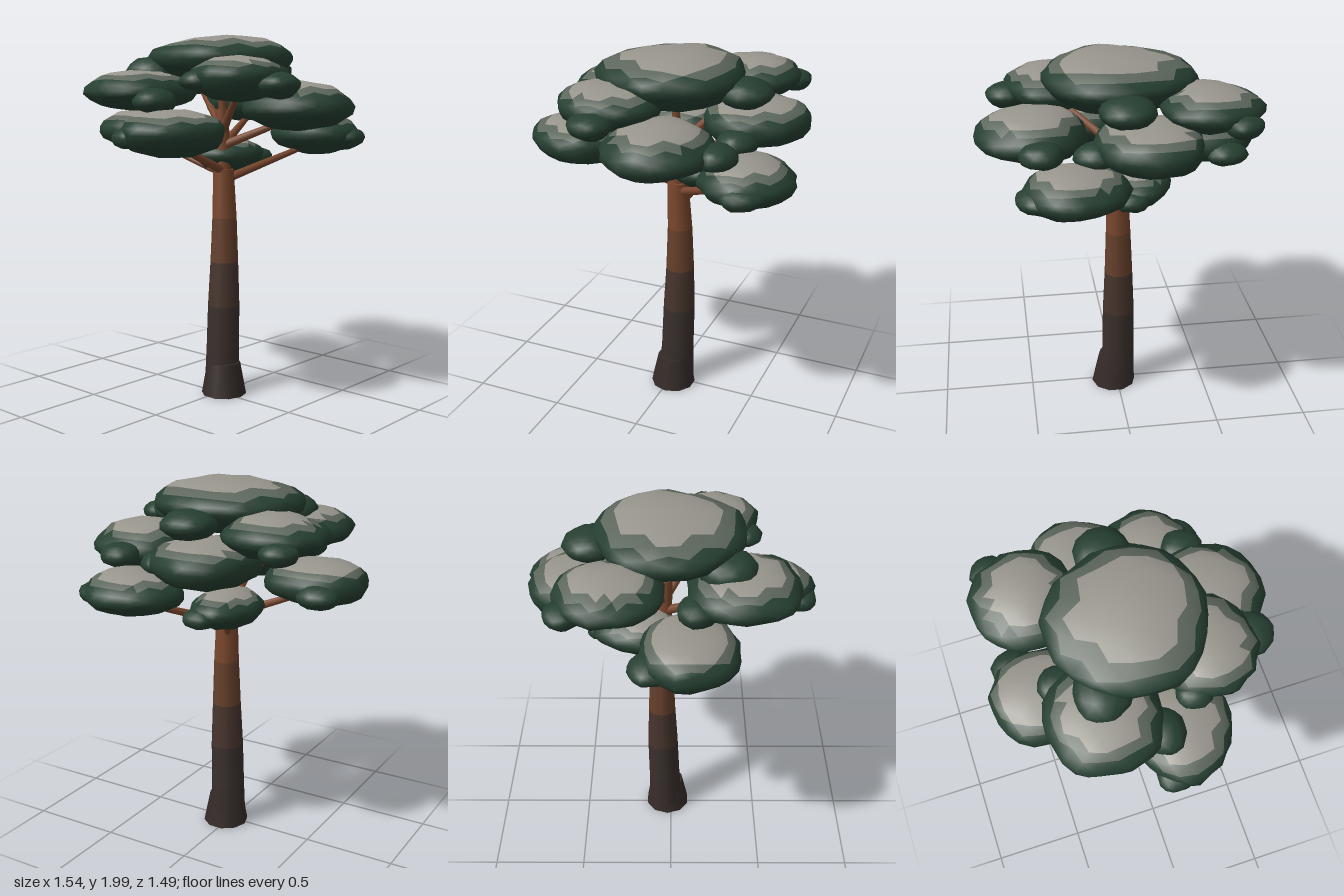
import * as THREE from 'three';
import { mergeVertices } from 'three/addons/utils/BufferGeometryUtils.js';

const mat = (color) => new THREE.MeshStandardMaterial({ color });
const GREEN = mat(0x263f31), MIX = mat(0x5d675c), FROST = mat(0x97958c), BRANCH = mat(0x7a472d);

function part(name, geometry, material) {
  const mesh = new THREE.Mesh(geometry, material);
  mesh.name = name;
  return mesh;
}

// Smooth lumpy ellipsoid; the lumps differ with the seed
function lumpGeometry([x, y, z], [rx, ry, rz], detail, seed) {
  let g = new THREE.IcosahedronGeometry(1, detail);
  g.deleteAttribute('normal');
  g.deleteAttribute('uv');
  g = mergeVertices(g, 1e-3);
  const p = g.attributes.position, v = new THREE.Vector3();
  for (let i = 0; i < p.count; i++) {
    v.fromBufferAttribute(p, i);
    const n = Math.sin(v.x * 4.1 + seed * 1.7) + Math.sin(v.y * 4.7 + seed * 2.9)
      + Math.sin(v.z * 4.3 + seed * 3.7) + Math.sin((v.x + v.z) * 9 + seed);
    const s = 0.99 + 0.027 * n;
    p.setXYZ(i, x + v.x * s * rx, y + v.y * s * ry, z + v.z * s * rz);
  }
  g.computeVertexNormals();
  return g;
}

// Splits a lump by height into green sides, a mixed band and a pale top, sharing normals
function splitBands(g, y, ry) {
  const p = g.attributes.position, idx = g.index.array, bands = [[], [], []];
  for (let i = 0; i < idx.length; i += 3) {
    const f = [idx[i], idx[i + 1], idx[i + 2]];
    const h = ((p.getY(f[0]) + p.getY(f[1]) + p.getY(f[2])) / 3 - y) / ry;
    bands[h > 0.7 ? 2 : h > 0.52 ? 1 : 0].push(...f);
  }
  return bands.map((list) => {
    const s = new THREE.BufferGeometry();
    s.setAttribute('position', p);
    s.setAttribute('normal', g.attributes.normal);
    s.setIndex(list);
    return s;
  });
}

// Leaning cylinder with level ends
function trunkSection([y0, x0, z0, r0], [y1, x1, z1, r1]) {
  const h = y1 - y0, g = new THREE.CylinderGeometry(r1, r0, h, 10);
  const p = g.attributes.position;
  for (let i = 0; i < p.count; i++) {
    const t = p.getY(i) / h + 0.5;
    p.setXYZ(i, p.getX(i) + x0 + (x1 - x0) * t, y0 + h * t, p.getZ(i) + z0 + (z1 - z0) * t);
  }
  return g;
}

// Tapered straight branch between two points
function branch(from, to, r0, r1) {
  const a = new THREE.Vector3(...from), b = new THREE.Vector3(...to);
  const d = b.clone().sub(a);
  const mesh = part('branch', new THREE.CylinderGeometry(r1, r0, d.length(), 7), BRANCH);
  mesh.position.copy(a).add(b).multiplyScalar(0.5);
  mesh.quaternion.setFromUnitVectors(new THREE.Vector3(0, 1, 0), d.normalize());
  return mesh;
}

export function createModel() {
  const tree = new THREE.Group();
  tree.name = 'tree';

  // Root flare and trunk, warming in colour towards the top: [y, x, z, radius]
  tree.add(part('rootFlare',
    trunkSection([0, 0.021, 0.02, 0.126], [0.18, 0.025, 0.015, 0.093]), mat(0x352b28)));
  const rings = [
    [0, 0.03, 0, 0.102], [0.25, 0.038, -0.005, 0.092], [0.5, 0.046, -0.005, 0.089],
    [0.75, 0.051, -0.005, 0.078], [1, 0.05, -0.003, 0.068], [1.27, 0.038, 0, 0.057],
  ];
  const bark = [0x382e2b, 0x3a302c, 0x47352d, 0x66402c, 0x7a472d].map(mat);
  bark.forEach((m, i) => tree.add(part('trunk', trunkSection(rings[i], rings[i + 1]), m)));
  tree.add(part('upperTrunk',
    trunkSection([1.25, 0.038, 0, 0.043], [1.6, 0.025, 0, 0.035]), BRANCH));

  // Leaf clumps: centre, radii, height where the branch starts, side lumps [x, y, z, radius]
  const clumps = [
    { c: [0.01, 1.86, 0], r: [0.39, 0.14, 0.4], from: 1.55,
      side: [[0.41, 1.81, 0, 0.14], [-0.28, 1.79, -0.22, 0.15]] },
    { c: [0.12, 1.62, 0.45], r: [0.3, 0.13, 0.285], from: 1.4,
      side: [[0.41, 1.61, 0.42, 0.11]] },
    { c: [-0.2, 1.765, 0.32], r: [0.265, 0.115, 0.26], from: 1.48,
      side: [[-0.19, 1.73, 0.56, 0.115], [-0.39, 1.75, 0.2, 0.09]] },
    { c: [-0.36, 1.7, -0.24], r: [0.285, 0.115, 0.285], from: 1.41,
      side: [[-0.5, 1.65, 0.01, 0.115], [-0.13, 1.66, -0.39, 0.11]] },
    { c: [-0.47, 1.49, 0.11], r: [0.29, 0.12, 0.27], from: 1.26,
      side: [[-0.67, 1.47, 0.02, 0.095]] },
    { c: [0.52, 1.46, 0.27], r: [0.245, 0.12, 0.26], from: 1.21,
      side: [[0.55, 1.44, 0.44, 0.12]] },
    { c: [0.43, 1.64, -0.11], r: [0.285, 0.12, 0.285], from: 1.4,
      side: [[0.42, 1.6, 0.16, 0.11]] },
    { c: [0.3, 1.785, -0.43], r: [0.26, 0.11, 0.265], from: 1.48,
      side: [[0.5, 1.745, -0.55, 0.1]] },
    { c: [-0.09, 1.48, -0.47], r: [0.27, 0.115, 0.275], from: 1.25,
      side: [[0.1, 1.45, -0.57, 0.115], [-0.16, 1.45, -0.24, 0.09]] },
    { c: [0.17, 1.34, -0.08], r: [0.23, 0.105, 0.185], from: 1.12,
      side: [[0.35, 1.32, -0.03, 0.095]] },
  ];
  clumps.forEach(({ c, r, side, from }, i) => {
    const clump = new THREE.Group();
    clump.name = 'leafClump';
    const [sides, mid, top] = splitBands(lumpGeometry(c, r, 3, i), c[1], r[1]);
    clump.add(part('leaves', sides, GREEN), part('mixedBand', mid, MIX), part('paleTop', top, FROST));
    side.forEach(([x, y, z, s], k) => clump.add(
      part('sideLump', lumpGeometry([x, y, z], [s, s * 0.58, s], 2, i * 3 + k + 20), GREEN)));
    tree.add(clump, branch([0.035, from, 0], [c[0], c[1] - 0.05, c[2]], 0.026, 0.014));
  });
  return tree;
}
